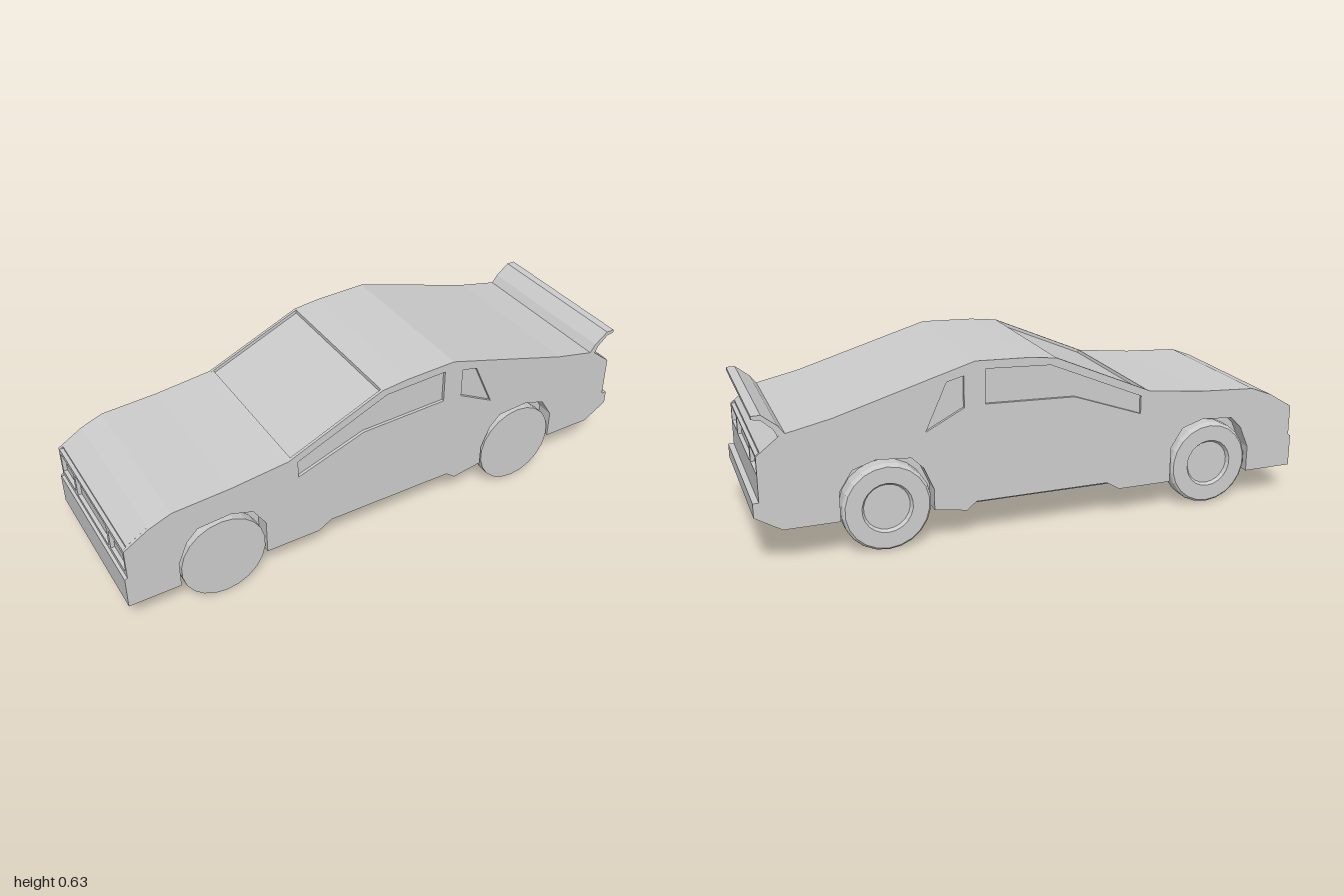
import * as THREE from 'three';

const W = 0.306;      // half width of the body
const SKIN = 0.295;   // inner face of the outer side panels
const CORE = 0.246;   // inner wall of the wheel wells
const WHEELS = [-0.653, 0.561];

const material = new THREE.MeshStandardMaterial({ color: 0xcccccc, flatShading: true });

function shapeOf(points) {
  return new THREE.Shape(points.map(([x, y]) => new THREE.Vector2(x, y)));
}

function extrude(shape, from, to) {
  const g = new THREE.ExtrudeGeometry(shape, { depth: to - from, bevelEnabled: false });
  return g.translate(0, 0, from);
}

// Extrude a (z, y) outline along x
function extrudeX(shape, from, to) {
  return extrude(shape, from, to).rotateY(Math.PI / 2);
}

function rect(x0, x1, y0, y1) {
  return [[x0, y0], [x1, y0], [x1, y1], [x0, y1]];
}

// Wheel arch, relative to the wheel centre
function arch(cx) {
  return [[-0.161, 0.2], [-0.127, 0.28], [-0.085, 0.322], [0.035, 0.331], [0.115, 0.305], [0.16, 0.235]]
    .map(([x, y]) => [cx + x, y]);
}

// Side outline; inset = sunk windshield and set-back end faces, cut = arches and sill notch
function outline(inset, cut) {
  const front = inset ? -0.976 : -0.99;
  const rear = inset ? 0.966 : 0.98;
  const [f, r] = WHEELS;
  const p = [[-1, 0.105]];
  if (cut) p.push([f - 0.161, 0.105], ...arch(f), [f + 0.16, 0.105]);
  p.push([-0.29, 0.105]);
  if (cut) p.push([-0.24, 0.135], [0.25, 0.135]);
  p.push([0.285, 0.107], [r - 0.161, 0.125]);
  if (cut) p.push(...arch(r));
  p.push([r + 0.16, 0.131], [0.91, 0.131]);
  p.push([1, 0.185], [1, 0.235], [rear, 0.235], [rear, inset ? 0.401 : 0.39]);
  p.push([0.9, 0.453], [0.73, 0.49], [0.4, 0.588], [0.25, 0.632], [0.06, 0.626], [-0.04, 0.615]);
  if (inset) p.push([-0.04, 0.602], [-0.385, 0.454], [-0.388, 0.465]);
  p.push([-0.4, 0.46], [-0.61, 0.437], [-0.82, 0.425], [-0.9, 0.394]);
  p.push([front, inset ? 0.349 : 0.34], [front, 0.228], [-1, 0.222]);
  return shapeOf(p);
}

// End plate with three sunk lamp and number panels
function endPlate(y0, y1, h0, h1) {
  const s = shapeOf(rect(-SKIN, SKIN, y0, y1));
  s.holes.push(shapeOf(rect(-0.146, 0.146, h0 - 0.004, h1 + 0.004)));
  s.holes.push(shapeOf(rect(-0.293, -0.166, h0, h1)), shapeOf(rect(0.166, 0.293, h0, h1)));
  return s;
}

export function createModel() {
  const car = new THREE.Group();
  car.name = 'car';
  const add = (name, geometry) => {
    const m = new THREE.Mesh(geometry, material);
    m.name = name;
    car.add(m);
    return m;
  };

  add('bodyCore', extrude(outline(true, false), -CORE, CORE));

  // Side panels with window openings
  const panel = outline(false, true);
  panel.holes.push(shapeOf([[-0.365, 0.38], [-0.11, 0.47], [0.215, 0.48], [0.215, 0.602], [-0.02, 0.592], [-0.365, 0.445]]));
  panel.holes.push(shapeOf([[0.29, 0.475], [0.425, 0.405], [0.35, 0.57], [0.29, 0.585]]));
  const flank = outline(true, true);

  for (const [side, s] of [['left', -1], ['right', 1]]) {
    const span = (a, b) => (s > 0 ? [a, b] : [-b, -a]);
    add(side + 'Flank', extrude(flank, ...span(CORE, SKIN)));
    add(side + 'SidePanel', extrude(panel, ...span(SKIN, W)));
    // Sill sloping in under the door
    const sill = shapeOf([[-s * CORE, 0.106], [-s * W, 0.1355], [-s * CORE, 0.1355]]);
    add(side + 'Sill', extrudeX(sill, -0.29, 0.285));
  }

  // Nose and tail faces
  add('nosePlate', extrudeX(endPlate(0.227, 0.341, 0.245, 0.322), -0.99, -0.976));
  add('tailPlate', extrudeX(endPlate(0.235, 0.392, 0.327, 0.383), 0.966, 0.98));

  // Rear spoiler, a thin curved blade across the tail
  const blade = shapeOf([[0.883, 0.456], [0.908, 0.45], [0.92, 0.475], [0.958, 0.509], [0.986, 0.513],
    [0.986, 0.525], [0.955, 0.525], [0.905, 0.485]]);
  add('spoiler', extrude(blade, -W, W));

  // Wheels, each with a sunk hub on its -z face
  const profile = [[0, 0.012], [0.08, 0.012], [0.088, 0], [0.145, 0], [0.152, 0.006], [0.155, 0.014],
    [0.155, 0.042], [0.155, 0.056], [0, 0.056]].map(([r, h]) => new THREE.Vector2(r, h));
  const wheel = new THREE.LatheGeometry(profile, 22).rotateX(Math.PI / 2);
  WHEELS.forEach((x, i) => {
    for (const z of [-0.303, 0.247]) {
      add(i ? 'rearWheel' : 'frontWheel', wheel).position.set(x, 0.155, z);
    }
  });

  return car;
}
